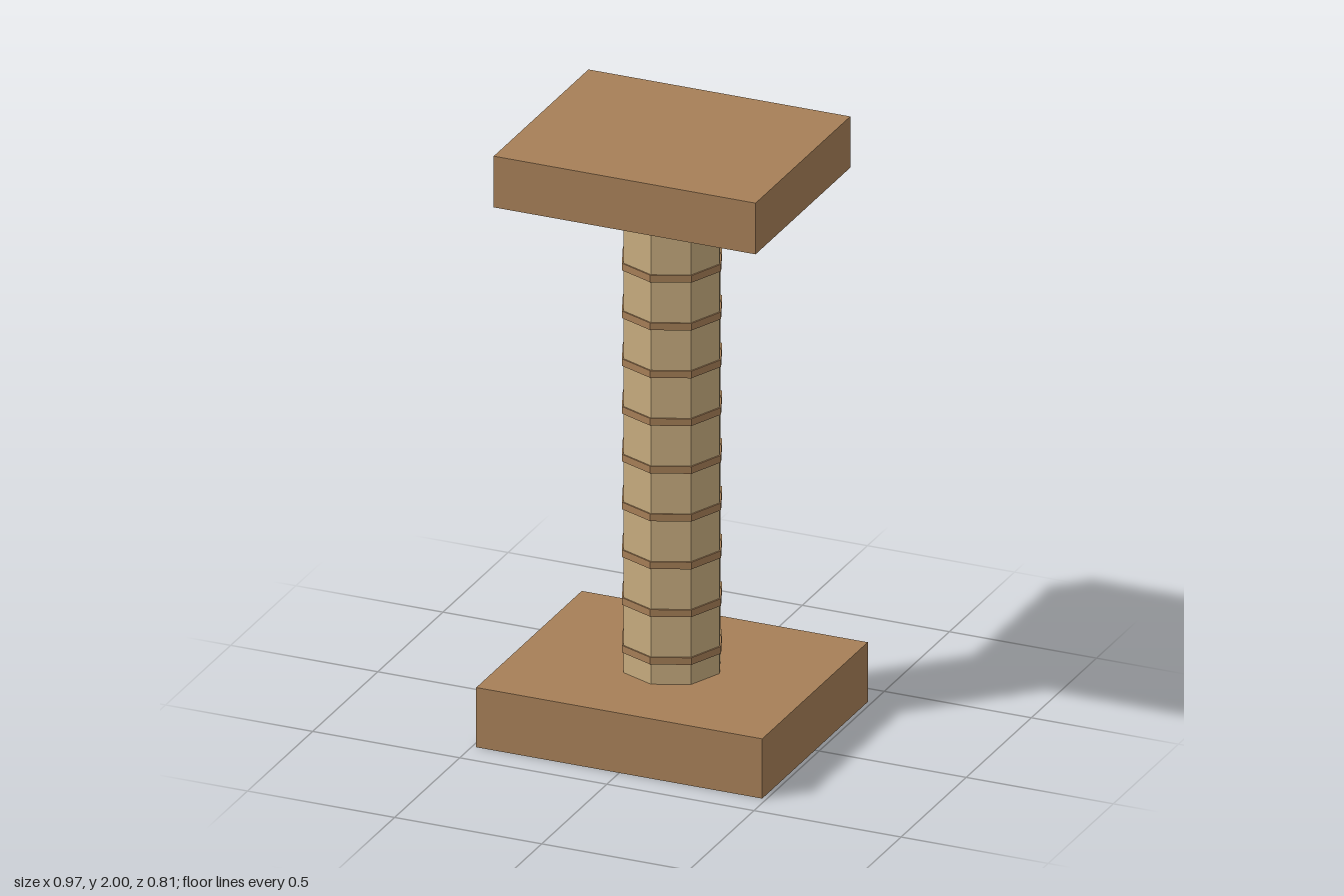
import * as THREE from 'three';

export function createModel() {
  const group = new THREE.Group();
  const wood = new THREE.MeshStandardMaterial({ color: 0xa67f57 });
  wood.name = 'brown wood';
  const rope = new THREE.MeshStandardMaterial({ color: 0xc8ad7f });
  rope.name = 'tan sisal';
  wood.flatShading = rope.flatShading = true;

  function add(name, geometry, material, y) {
    const mesh = new THREE.Mesh(geometry, material);
    mesh.name = name;
    mesh.position.y = y;
    group.add(mesh);
  }

  // Base and top platform
  const baseTop = 0.203, platformBottom = 1.826;
  add('base', new THREE.BoxGeometry(0.972, baseTop, 0.81), wood, baseTop / 2);
  add('topPlatform', new THREE.BoxGeometry(0.89, 2 - platformBottom, 0.727), wood, (2 + platformBottom) / 2);

  // Octagonal post between them
  const postHeight = platformBottom - baseTop;
  add('post', new THREE.CylinderGeometry(0.162, 0.162, postHeight, 8), rope, baseTop + postHeight / 2);

  // Thin bands wrapped around the post
  const bandGeometry = new THREE.CylinderGeometry(0.167, 0.167, 0.024, 8);
  for (let i = 0; i < 9; i++) add('band' + (i + 1), bandGeometry, wood, 0.284 + i * 0.1624);

  return group;
}
